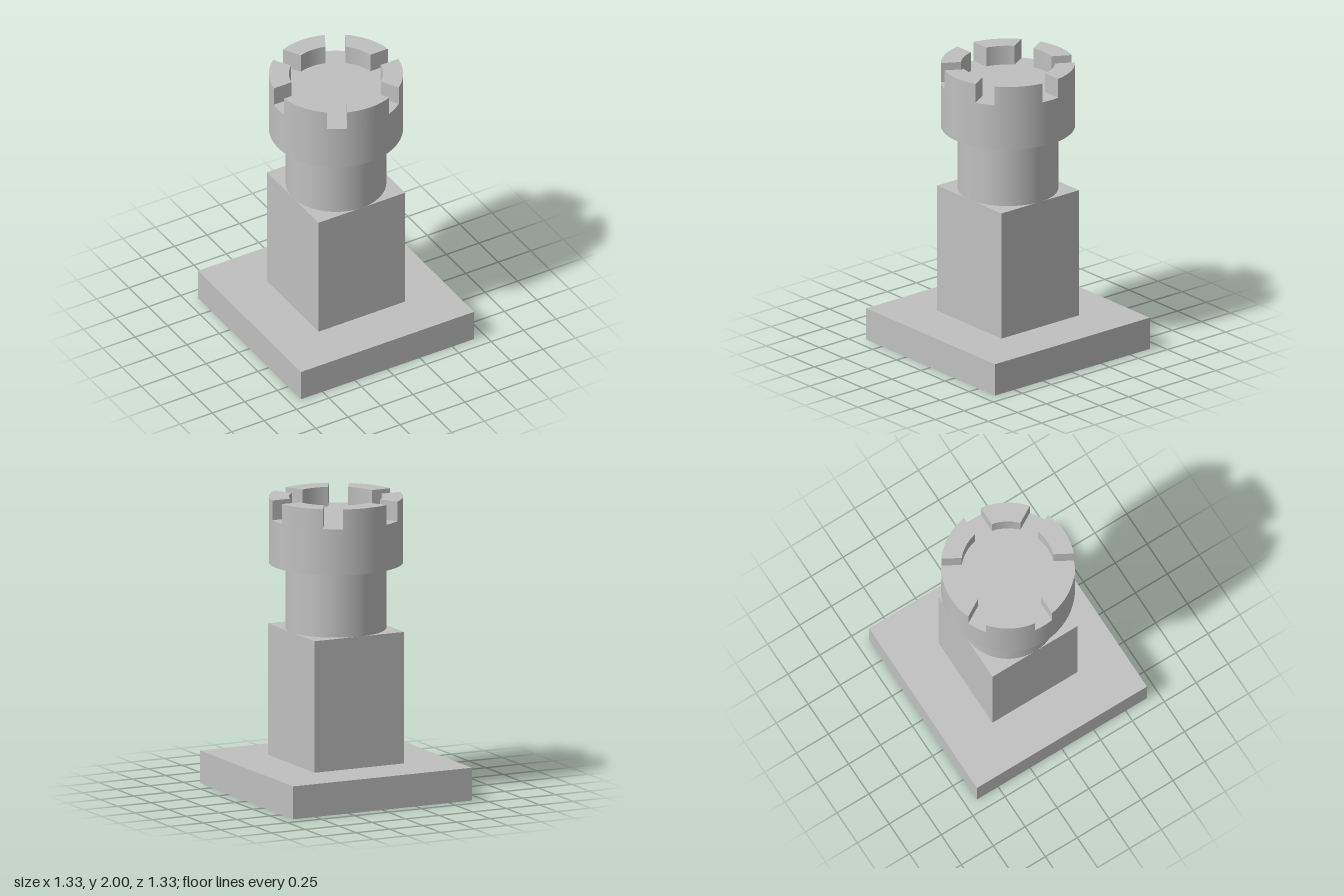
import * as THREE from 'three';
import { toCreasedNormals } from 'three/addons/utils/BufferGeometryUtils.js';

const U = 1 / 9; // modelling unit

export function createModel() {
  const group = new THREE.Group();
  const grey = new THREE.MeshStandardMaterial({ color: 0xc0c0c0 });
  grey.name = 'grey';

  const add = (name, geometry, y = 0) => {
    const mesh = new THREE.Mesh(geometry, grey);
    mesh.name = name;
    mesh.position.y = y;
    group.add(mesh);
    return mesh;
  };
  // Upright extrusion of a floor-plan shape, smooth round its curves
  const extrudeUp = (shape, depth) => {
    const g = new THREE.ExtrudeGeometry(shape, { depth, bevelEnabled: false, curveSegments: 48 });
    g.rotateX(-Math.PI / 2);
    return toCreasedNormals(g, 0.6);
  };

  // Base: lower plate with two diagonal peg holes, closed by a solid upper plate
  const s = 6 * U;
  const plan = new THREE.Shape();
  plan.moveTo(-s, -s).lineTo(s, -s).lineTo(s, s).lineTo(-s, s).closePath();
  for (const d of [-1, 1]) {
    const hole = new THREE.Path();
    hole.absarc(d * 2 * U, -d * 2 * U, 2 * U, 0, Math.PI * 2, true);
    plan.holes.push(hole);
  }
  add('baseLower', extrudeUp(plan, U));
  add('baseUpper', new THREE.BoxGeometry(12 * U, U, 12 * U), 1.5 * U);

  // Square shaft, round neck and wide head
  add('shaft', new THREE.BoxGeometry(6 * U, 8 * U, 6 * U), 6 * U);
  add('neck', new THREE.CylinderGeometry(3 * U, 3 * U, 4 * U, 96), 12 * U);
  const floorY = 16.8 * U;
  add('head', new THREE.CylinderGeometry(4 * U, 4 * U, floorY - 14 * U, 96), (floorY + 14 * U) / 2);

  // Six battlements separated by parallel-sided gaps
  const R = 4 * U, r = 2.8 * U, half = 0.6 * U, step = Math.PI / 3;
  const a = Math.asin(half / R), b = Math.asin(half / r);
  const block = new THREE.Shape();
  block.absarc(0, 0, R, a, step - a, false);
  block.absarc(0, 0, r, step - b, b, true);
  block.closePath();
  const blockGeometry = extrudeUp(block, 2 - floorY);
  for (let i = 0; i < 6; i++) {
    add('battlement' + (i + 1), blockGeometry, floorY).rotation.y = i * step;
  }
  return group;
}
